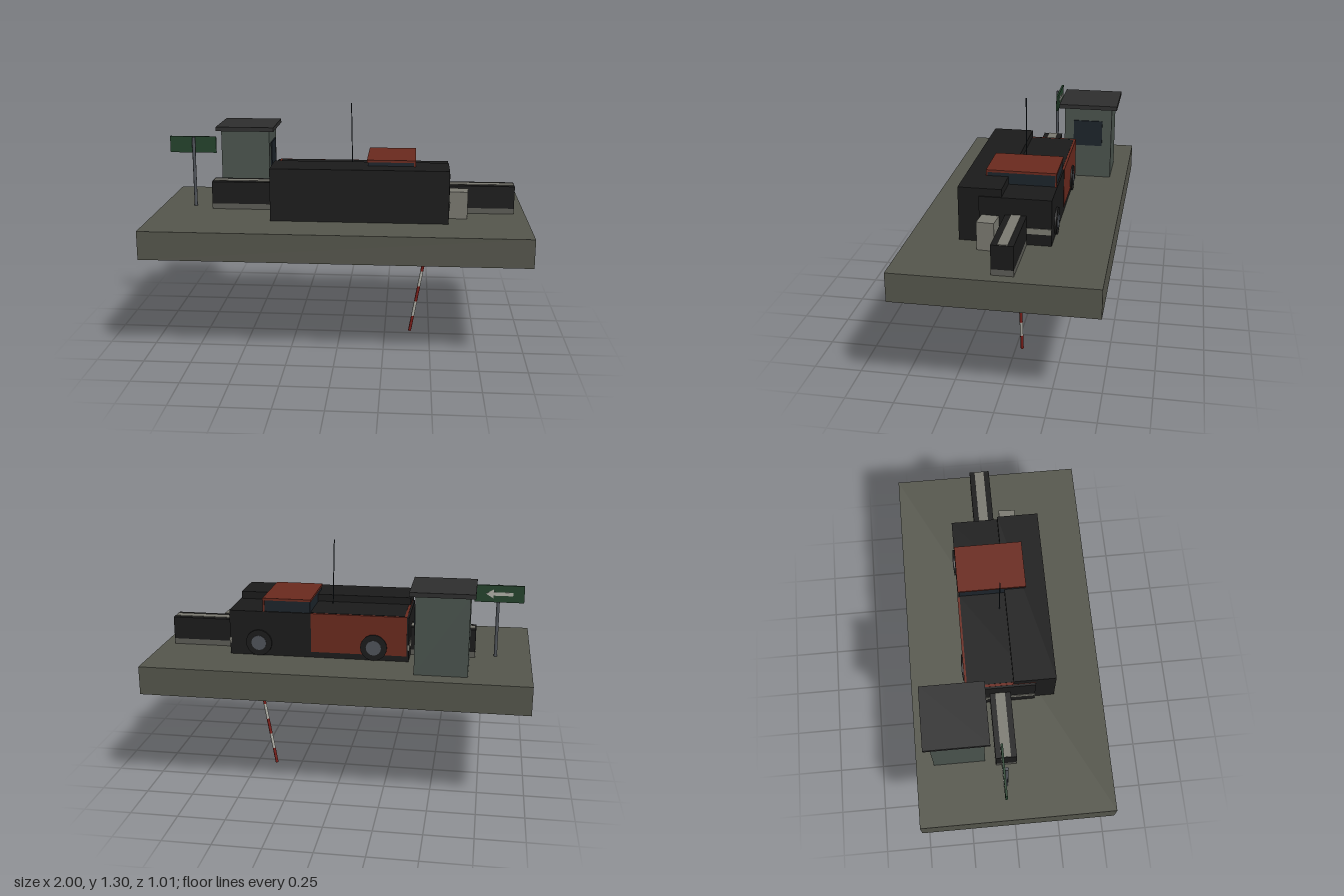
import * as THREE from 'three';

const mat = (color) => new THREE.MeshStandardMaterial({ color });
const M = {
  ground: mat(0x55564c), black: mat(0x1b1b1b), red: mat(0x6b2a1e), glass: mat(0x1c242b),
  booth: mat(0x4b544e), roof: mat(0x2e2e2e), concrete: mat(0x5c5c56), pale: mat(0x7c7b72),
  green: mat(0x24422c), steel: mat(0x50545a), white: mat(0xb0b0a8), stripe: mat(0x7a1d18),
};

export function createModel() {
  const root = new THREE.Group();

  const add = (name, geo, material, parent = root) => {
    const mesh = new THREE.Mesh(geo, material);
    mesh.name = name;
    parent.add(mesh);
    return mesh;
  };
  // box given by its min and max on each axis
  const box = (name, [x0, x1], [y0, y1], [z0, z1], material, parent) => {
    const mesh = add(name, new THREE.BoxGeometry(x1 - x0, y1 - y0, z1 - z0), material, parent);
    mesh.position.set((x0 + x1) / 2, (y0 + y1) / 2, (z0 + z1) / 2);
    return mesh;
  };
  // round rod between two points
  const rod = (name, a, b, r, material, parent, sides = 10) => {
    const mesh = add(name, new THREE.CylinderGeometry(r, r, a.distanceTo(b), sides), material, parent);
    mesh.position.copy(a).lerp(b, 0.5);
    mesh.quaternion.setFromUnitVectors(new THREE.Vector3(0, 1, 0), b.clone().sub(a).normalize());
    return mesh;
  };
  const group = (name) => {
    const g = new THREE.Group();
    g.name = name;
    root.add(g);
    return g;
  };
  const v = (x, y, z) => new THREE.Vector3(x, y, z);

  box('groundSlab', [-1, 1], [0.56, 0.71], [-0.505, 0.505], M.ground);

  // striped pole leaning out of the underside of the slab
  const pole = group('stripedPole');
  const low = v(0.392, 0.002, -0.034), high = v(0.5, 0.625, -0.034);
  for (let i = 0; i < 7; i++) {
    rod('poleStripe', low.clone().lerp(high, i / 7), low.clone().lerp(high, (i + 1) / 7),
      0.0085, i % 2 ? M.white : M.stripe, pole, 12);
  }

  // guard booth
  const booth = group('booth');
  box('boothWalls', [-0.68, -0.41], [0.71, 1.12], [-0.412, -0.145], M.booth, booth);
  box('boothRoof', [-0.705, -0.382], [1.12, 1.143], [-0.442, -0.116], M.roof, booth);
  box('boothWindow', [-0.415, -0.403], [0.9, 1.046], [-0.36, -0.198], M.glass, booth);

  // direction sign with an arrow on its rear face
  const sign = group('roadSign');
  rod('signPost', v(-0.815, 0.71, -0.047), v(-0.815, 1.098, -0.047), 0.009, M.steel, sign);
  box('signBoard', [-0.948, -0.692], [1.01, 1.1], [-0.066, -0.055], M.green, sign);
  const arrow = new THREE.Shape();
  arrow.moveTo(0.07, 0);
  arrow.lineTo(0.03, 0.024);
  arrow.lineTo(0.03, 0.009);
  arrow.lineTo(-0.07, 0.009);
  arrow.lineTo(-0.07, -0.009);
  arrow.lineTo(0.03, -0.009);
  arrow.lineTo(0.03, -0.024);
  add('signArrow', new THREE.ExtrudeGeometry(arrow, { depth: 0.003, bevelEnabled: false }), M.white, sign)
    .position.set(-0.82, 1.055, -0.069);

  // low barriers running up to both ends of the truck
  for (const [x0, x1] of [[-0.708, -0.34], [0.57, 0.94]]) {
    const barrier = group('barrier');
    box('barrierFoot', [x0, x1], [0.71, 0.74], [-0.092, 0.016], M.concrete, barrier);
    box('barrierBody', [x0, x1], [0.74, 0.862], [-0.092, 0.016], M.black, barrier);
    box('barrierTopStrip', [x0 + 0.004, x1 - 0.004], [0.85, 0.865], [-0.064, -0.014], M.pale, barrier);
  }

  // truck: dark nose, red load bed, low cab
  const truck = group('truck');
  box('truckNose', [0.15, 0.588], [0.71, 0.95], [-0.215, 0.145], M.black, truck);
  box('truckBed', [-0.355, 0.15], [0.74, 0.95], [-0.217, 0.145], M.red, truck);
  box('bedCover', [-0.342, 0.15], [0.9, 0.952], [-0.205, 0.13], M.black, truck);
  box('bedSill', [-0.355, 0.15], [0.71, 0.74], [-0.215, 0.145], M.black, truck);
  box('tailgate', [-0.366, -0.355], [0.71, 0.948], [-0.215, 0.145], M.black, truck);
  box('cabGlass', [0.155, 0.404], [0.95, 1.01], [-0.207, 0.14], M.glass, truck);
  box('cabRoof', [0.15, 0.408], [1.01, 1.022], [-0.212, 0.145], M.red, truck);
  for (const z of [-0.212, 0.138]) {
    box('cabPillar', [0.398, 0.408], [0.95, 1.01], [z, z + 0.007], M.red, truck);
  }
  box('frontBumper', [0.58, 0.592], [0.77, 0.8], [-0.215, 0.145], M.pale, truck);
  box('rearBumper', [-0.37, -0.36], [0.77, 0.8], [-0.215, 0.145], M.pale, truck);
  for (const x of [-0.183, 0.43]) {
    for (const side of [-1, 1]) {
      const z = side < 0 ? -0.205 : 0.125;
      rod('tyre', v(x, 0.78, z - 0.02), v(x, 0.78, z + 0.02), 0.07, M.black, truck, 20);
      rod('wheelHub', v(x, 0.78, z - 0.023), v(x, 0.78, z + 0.023), 0.04, M.steel, truck, 16);
    }
  }

  // long dark block along the front side of the truck
  box('longBlock', [-0.353, 0.582], [0.71, 0.99], [0.032, 0.25], M.black);

  // thin aerial
  rod('aerial', v(0.066, 0.95, -0.003), v(0.059, 1.3, 0), 0.0028, M.glass, root, 6);

  // small cabinet beside the nose, slightly turned
  const cabinet = group('cabinet');
  cabinet.position.set(0.64, 0.783, 0.09);
  cabinet.rotation.y = -0.07;
  box('cabinetBody', [-0.049, 0.047], [-0.073, 0.073], [-0.043, 0.045], M.pale, cabinet);

  return root;
}
